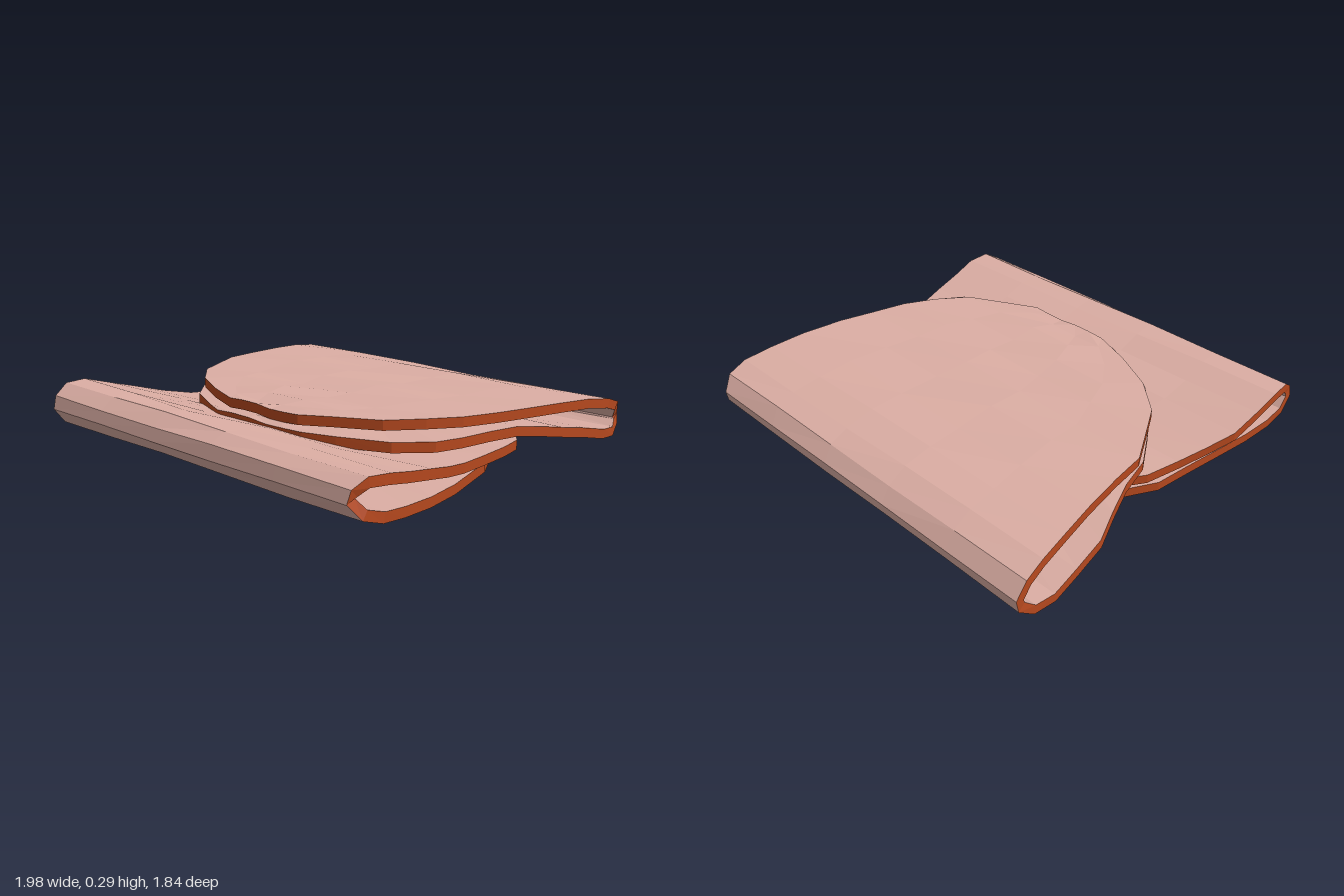
import * as THREE from 'three';

// Fold profile, upper tip -> fold -> lower tip: [z, y, left x, right x, drop at the -x end]
const STATIONS = [
  [0.53, 0.265, -0.14, 0.29, 0],
  [0.46, 0.267, -0.33, 0.42, 0],
  [0.36, 0.268, -0.53, 0.61, 0],
  [0.22, 0.268, -0.69, 0.72, 0],
  [0.08, 0.265, -0.77, 0.80, 0],
  [-0.08, 0.262, -0.86, 0.85, 0],
  [-0.25, 0.262, -0.88, 0.90, 0],
  [-0.45, 0.257, -0.91, 0.94, 0],
  [-0.62, 0.247, -0.94, 0.96, 0],
  [-0.76, 0.228, -0.96, 0.98, 0],
  [-0.85, 0.200, -0.97, 0.97, 0.005],
  [-0.893, 0.145, -0.97, 0.94, 0.01],
  [-0.885, 0.115, -0.97, 0.95, 0.02],
  [-0.83, 0.082, -0.985, 0.97, 0.03],
  [-0.73, 0.090, -0.995, 0.98, 0.04],
  [-0.60, 0.118, -0.99, 0.96, 0.03],
  [-0.45, 0.145, -0.98, 0.94, 0.015],
  [-0.32, 0.170, -0.93, 0.92, 0.005],
  [-0.18, 0.192, -0.88, 0.89, 0],
  [-0.02, 0.198, -0.84, 0.87, 0],
  [0.15, 0.200, -0.73, 0.85, 0],
  [0.28, 0.203, -0.64, 0.82, 0],
  [0.42, 0.207, -0.50, 0.71, 0],
  [0.52, 0.210, -0.30, 0.50, 0],
  [0.57, 0.210, -0.18, 0.35, 0],
];
const COLS = 5;
const HALF = 0.022;

// Two skins of points, offset either side of the profile
function buildSkins() {
  const outer = [], inner = [];
  STATIONS.forEach(([z, y, xl, xr, drop], i) => {
    const p = STATIONS[Math.max(i - 1, 0)], n = STATIONS[Math.min(i + 1, STATIONS.length - 1)];
    const dz = n[0] - p[0], dy = n[1] - p[1], len = Math.hypot(dz, dy);
    const nz = dy / len, ny = -dz / len;
    const rowO = [], rowI = [];
    for (let j = 0; j <= COLS; j++) {
      const t = j / COLS;
      const x = xl + (xr - xl) * t;
      // shallow uneven wrinkles, fading at the rim
      const wave = 0.008 * Math.sin(i * 2.1 + j * 1.3) * Math.sin(Math.PI * t);
      const yy = y - drop * (1 - t) + wave * Math.abs(ny);
      const zz = z - 0.005 * (1 - t) * Math.abs(nz);
      rowO.push([x, yy + ny * HALF, zz + nz * HALF]);
      rowI.push([x, yy - ny * HALF, zz - nz * HALF]);
    }
    outer.push(rowO);
    inner.push(rowI);
  });
  return { outer, inner };
}

function quadGeometry(quads) {
  const pos = [];
  for (const [a, b, c, d] of quads) pos.push(...a, ...b, ...c, ...a, ...c, ...d);
  const g = new THREE.BufferGeometry();
  g.setAttribute('position', new THREE.Float32BufferAttribute(pos, 3));
  g.computeVertexNormals();
  return g;
}

export function createModel() {
  const meat = new THREE.MeshStandardMaterial({ color: 0xdcaea4, flatShading: true });
  const rind = new THREE.MeshStandardMaterial({ color: 0xb5481e, flatShading: true });
  const { outer: O, inner: I } = buildSkins();
  const last = STATIONS.length - 1;
  const faces = [], rim = [];

  for (let i = 0; i < last; i++) {
    for (let j = 0; j < COLS; j++) {
      faces.push([O[i][j], O[i][j + 1], O[i + 1][j + 1], O[i + 1][j]]);
      faces.push([I[i][j], I[i + 1][j], I[i + 1][j + 1], I[i][j + 1]]);
    }
    rim.push([O[i][COLS], I[i][COLS], I[i + 1][COLS], O[i + 1][COLS]]);
    rim.push([O[i][0], O[i + 1][0], I[i + 1][0], I[i][0]]);
  }
  for (let j = 0; j < COLS; j++) {
    rim.push([I[0][j], I[0][j + 1], O[0][j + 1], O[0][j]]);
    rim.push([O[last][j], O[last][j + 1], I[last][j + 1], I[last][j]]);
  }
  const faceGeo = quadGeometry(faces), rimGeo = quadGeometry(rim);

  function foldedSlice(name) {
    const slice = new THREE.Group();
    slice.name = name;
    const body = new THREE.Mesh(faceGeo, meat);
    body.name = name + 'Meat';
    const edge = new THREE.Mesh(rimGeo, rind);
    edge.name = name + 'Rind';
    slice.add(body, edge);
    return slice;
  }

  // The lower slice is the upper one turned over about the x axis
  const group = new THREE.Group();
  group.name = 'foldedSlices';
  const upper = foldedSlice('upperSlice');
  const lower = foldedSlice('lowerSlice');
  lower.rotation.x = Math.PI;
  lower.position.y = 0.302;
  group.add(upper, lower);
  return group;
}
